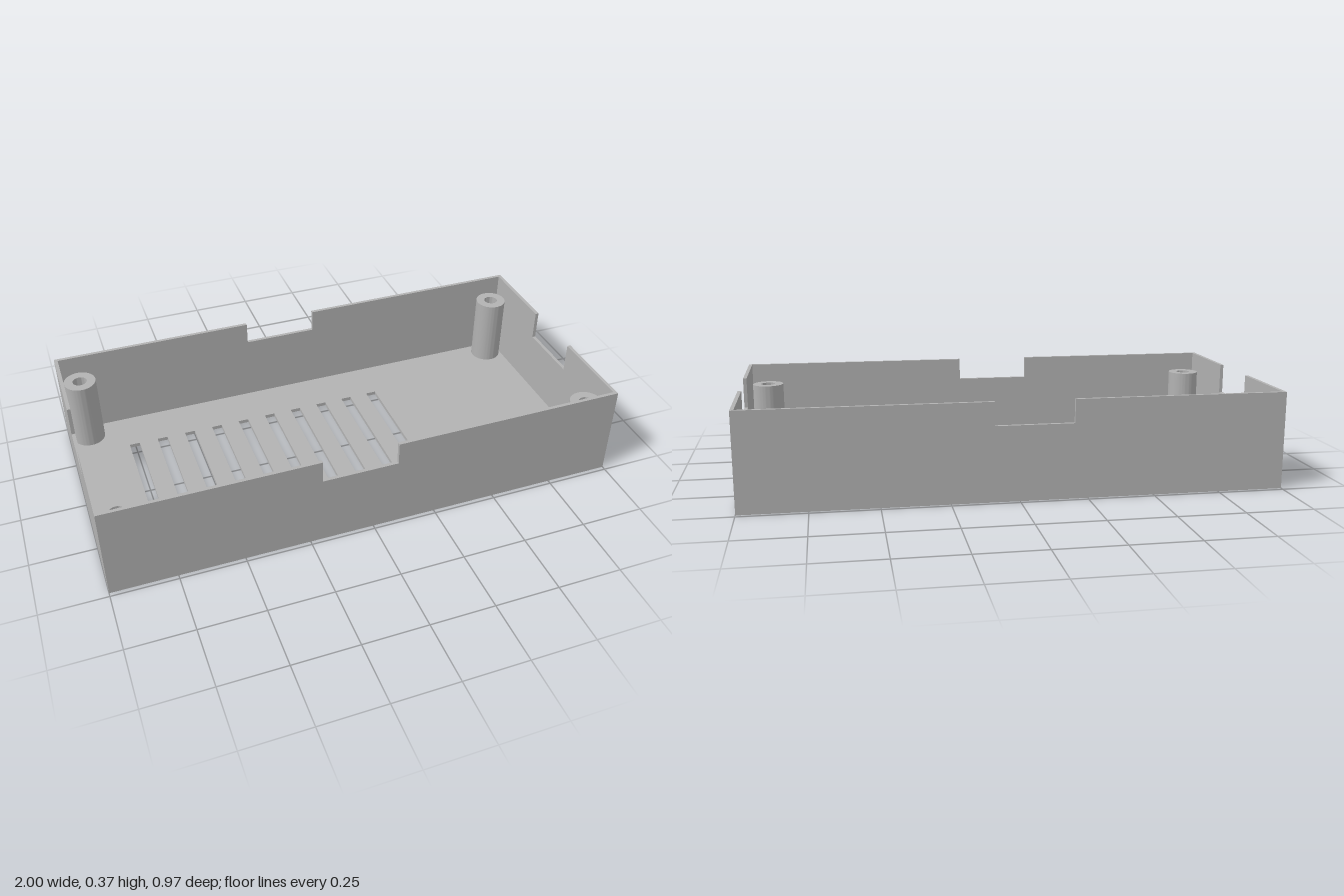
import * as THREE from 'three';
import { toCreasedNormals } from 'three/addons/utils/BufferGeometryUtils.js';

const HALF_X = 1, HALF_Z = 0.484, HEIGHT = 0.369;
const WALL = 0.0135, FLOOR = 0.015;
const POST_X = 0.92, POST_Z = 0.406, POST_R = 0.063, POST_TOP = 0.296;
const BORE_R = 0.028, RECESS_R = 0.046, RECESS_TOP = 0.2;

function polygon(points, Type = THREE.Shape) {
  return new Type(points.map(([x, y]) => new THREE.Vector2(x, y)));
}

function rect(x0, y0, x1, y1, Type) {
  return polygon([[x0, y0], [x1, y0], [x1, y1], [x0, y1]], Type);
}

// Wall panel with a rectangular notch in its upper edge, centred on its thickness
function wallGeometry(half, n0, n1, notchY) {
  const shape = polygon([
    [-half, 0], [half, 0], [half, HEIGHT], [n1, HEIGHT],
    [n1, notchY], [n0, notchY], [n0, HEIGHT], [-half, HEIGHT],
  ]);
  return new THREE.ExtrudeGeometry(shape, { depth: WALL, bevelEnabled: false })
    .translate(0, 0, -WALL / 2);
}

export function createModel() {
  const group = new THREE.Group();
  group.name = 'enclosureHalf';
  const grey = new THREE.MeshStandardMaterial({ color: 0xb2b2b2 });
  grey.name = 'grey';

  const add = (name, geometry) => {
    const mesh = new THREE.Mesh(geometry, grey);
    mesh.name = name;
    group.add(mesh);
    return mesh;
  };

  // Floor with ventilation slots and screw recesses
  const ix = HALF_X - WALL, iz = HALF_Z - WALL;
  const floor = rect(-ix, -iz, ix, iz);
  for (let i = 0; i < 10; i++) {
    const x = -0.753 + i * 0.1168;
    floor.holes.push(rect(x - 0.021, -0.29, x + 0.021, 0.29, THREE.Path));
  }
  for (const sx of [-1, 1]) for (const sz of [-1, 1]) {
    const hole = new THREE.Path();
    hole.absarc(sx * POST_X, sz * POST_Z, RECESS_R, 0, Math.PI * 2);
    floor.holes.push(hole);
  }
  add('floor', new THREE.ExtrudeGeometry(floor, { depth: FLOOR, bevelEnabled: false, curveSegments: 32 })
    .rotateX(-Math.PI / 2));

  // Long walls and end walls
  const longWall = wallGeometry(HALF_X, -0.2, 0.092, 0.281);
  add('frontWall', longWall).position.z = HALF_Z - WALL / 2;
  add('backWall', longWall).position.z = -HALF_Z + WALL / 2;
  const endWall = wallGeometry(iz, -0.131, 0.131, 0.252).rotateY(Math.PI / 2);
  add('leftWall', endWall).position.x = HALF_X - WALL / 2;
  add('rightWall', endWall).position.x = -HALF_X + WALL / 2;

  // Hollow screw posts: narrow bore above, wide recess below
  const profile = [
    [POST_R, FLOOR], [POST_R, POST_TOP], [BORE_R, POST_TOP],
    [BORE_R, RECESS_TOP], [RECESS_R, RECESS_TOP], [RECESS_R, 0],
  ].map(([r, y]) => new THREE.Vector2(r, y));
  const post = toCreasedNormals(new THREE.LatheGeometry(profile, 64), 0.6);
  for (const sx of [-1, 1]) for (const sz of [-1, 1]) {
    const name = (sz > 0 ? 'front' : 'back') + (sx > 0 ? 'Left' : 'Right') + 'Post';
    add(name, post).position.set(sx * POST_X, 0, sz * POST_Z);
  }

  return group;
}
